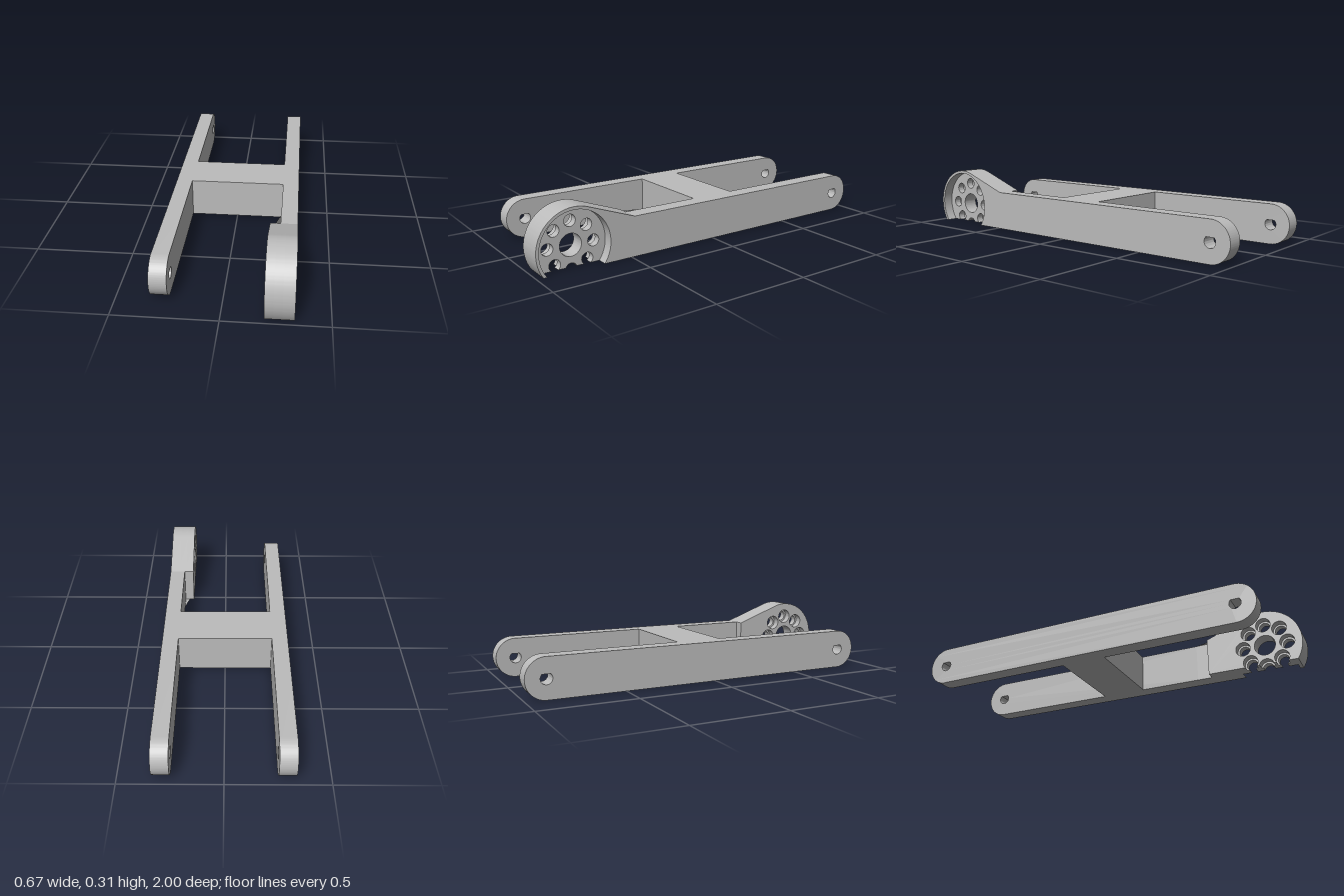
import * as THREE from 'three';
import { toCreasedNormals } from 'three/addons/utils/BufferGeometryUtils.js';

const H = 0.207;                 // arm height
const R = H / 2;                 // rounded arm ends
const HUB = { s: -0.8, y: 0.11, r: 0.2 };
const HUB_BACK = -0.48;          // profiles use s = -z

export function createModel() {
  const group = new THREE.Group();
  const grey = new THREE.MeshStandardMaterial({ color: 0xbcbcbc });
  grey.name = 'plain grey';

  function add(name, geometry) {
    const mesh = new THREE.Mesh(geometry, grey);
    mesh.name = name;
    group.add(mesh);
  }

  // Side profile (s, y) extruded from x0 to x1
  function extrudeSide(shape, x0, x1) {
    const g = new THREE.ExtrudeGeometry(shape, { depth: x1 - x0, bevelEnabled: false, curveSegments: 32 });
    g.rotateY(Math.PI / 2);
    g.translate(x0, 0, 0);
    return toCreasedNormals(g, 0.5);
  }

  // Pin hole with a pointed top
  function teardrop(s, y, r = 0.03) {
    const p = new THREE.Path();
    p.moveTo(s, y + r * Math.SQRT2);
    p.absarc(s, y, r, Math.PI * 0.75, Math.PI * 2.25, false);
    p.closePath();
    return p;
  }

  function armShape(front, roundFront) {
    const shape = new THREE.Shape();
    const back = 1 - R;
    shape.moveTo(front, 0);
    shape.lineTo(back, 0);
    shape.absarc(back, R, R, -Math.PI / 2, Math.PI / 2, false);
    shape.lineTo(front, H);
    if (roundFront) shape.absarc(front, R, R, Math.PI / 2, Math.PI * 1.5, false);
    else shape.lineTo(front, 0);
    shape.holes.push(teardrop(back, R));
    if (roundFront) shape.holes.push(teardrop(front, R));
    return shape;
  }

  // Hub outline; circles that cross the base become notches, the rest holes
  function hubShape(circles) {
    const shape = new THREE.Shape();
    const low = Math.asin(-HUB.y / HUB.r);
    shape.moveTo(HUB.s - HUB.r * Math.cos(low), 0);
    const crossing = circles.filter(([, y, r]) => y < r).sort((a, b) => a[0] - b[0]);
    for (const [s, y, r] of crossing) {
      const a = Math.asin(-y / r);
      shape.absarc(s, y, r, Math.PI - a, a, true);
    }
    shape.lineTo(HUB_BACK, 0);
    shape.lineTo(HUB_BACK, H);
    const ds = HUB_BACK - HUB.s, dy = H - HUB.y;
    const tangent = Math.atan2(dy, ds) + Math.acos(HUB.r / Math.hypot(ds, dy));
    shape.absarc(HUB.s, HUB.y, HUB.r, tangent, Math.PI - low, false);
    for (const [s, y, r] of circles) {
      if (y >= r) shape.holes.push(new THREE.Path().absarc(s, y, r, 0, Math.PI * 2, true));
    }
    return shape;
  }

  // Centre bore plus a ring of eight holes
  function boltCircle(r) {
    const circles = [[HUB.s, HUB.y, 0.057]];
    for (let i = 0; i < 8; i++) {
      const a = i * Math.PI / 4;
      circles.push([HUB.s + 0.12 * Math.cos(a), HUB.y + 0.12 * Math.sin(a), r]);
    }
    return circles;
  }

  // Two long arms
  add('rightArm', extrudeSide(armShape(-0.9 + R, true), -0.335, -0.25));
  add('leftArm', extrudeSide(armShape(HUB_BACK, false), 0.25, 0.335));

  // Cross bar joining the arms
  const bar = new THREE.BoxGeometry(0.5, H, 0.245);
  bar.translate(0, H / 2, -0.057);
  add('crossBar', bar);

  // Hub: counterbored inner plate, drilled plate and recessed outer rim
  add('hubInnerPlate', extrudeSide(hubShape(boltCircle(0.04)), 0.198, 0.24));
  add('hubPlate', extrudeSide(hubShape(boltCircle(0.03)), 0.24, 0.28));
  add('hubRim', extrudeSide(hubShape([[HUB.s, HUB.y, 0.185]]), 0.28, 0.335));

  // Tapered gusset between arm and hub
  const wedge = new THREE.Shape();
  wedge.moveTo(0.25, -0.4);
  wedge.lineTo(0.225, -0.48);
  wedge.lineTo(0.25, -0.48);
  wedge.closePath();
  const gusset = new THREE.ExtrudeGeometry(wedge, { depth: H, bevelEnabled: false });
  gusset.rotateX(-Math.PI / 2);
  gusset.scale(1, 1, 1);
  add('hubGusset', mirrorZ(gusset));

  return group;
}

// Flip a geometry front to back, keeping its faces outward
function mirrorZ(geometry) {
  const g = geometry.index ? geometry.toNonIndexed() : geometry;
  const p = g.attributes.position;
  const v = [new THREE.Vector3(), new THREE.Vector3(), new THREE.Vector3()];
  for (let i = 0; i < p.count; i += 3) {
    v.forEach((c, k) => c.fromBufferAttribute(p, i + k));
    [0, 2, 1].forEach((from, k) => p.setXYZ(i + k, v[from].x, v[from].y, v[from].z > 0 ? v[from].z : -v[from].z));
  }
  g.computeVertexNormals();
  return g;
}
